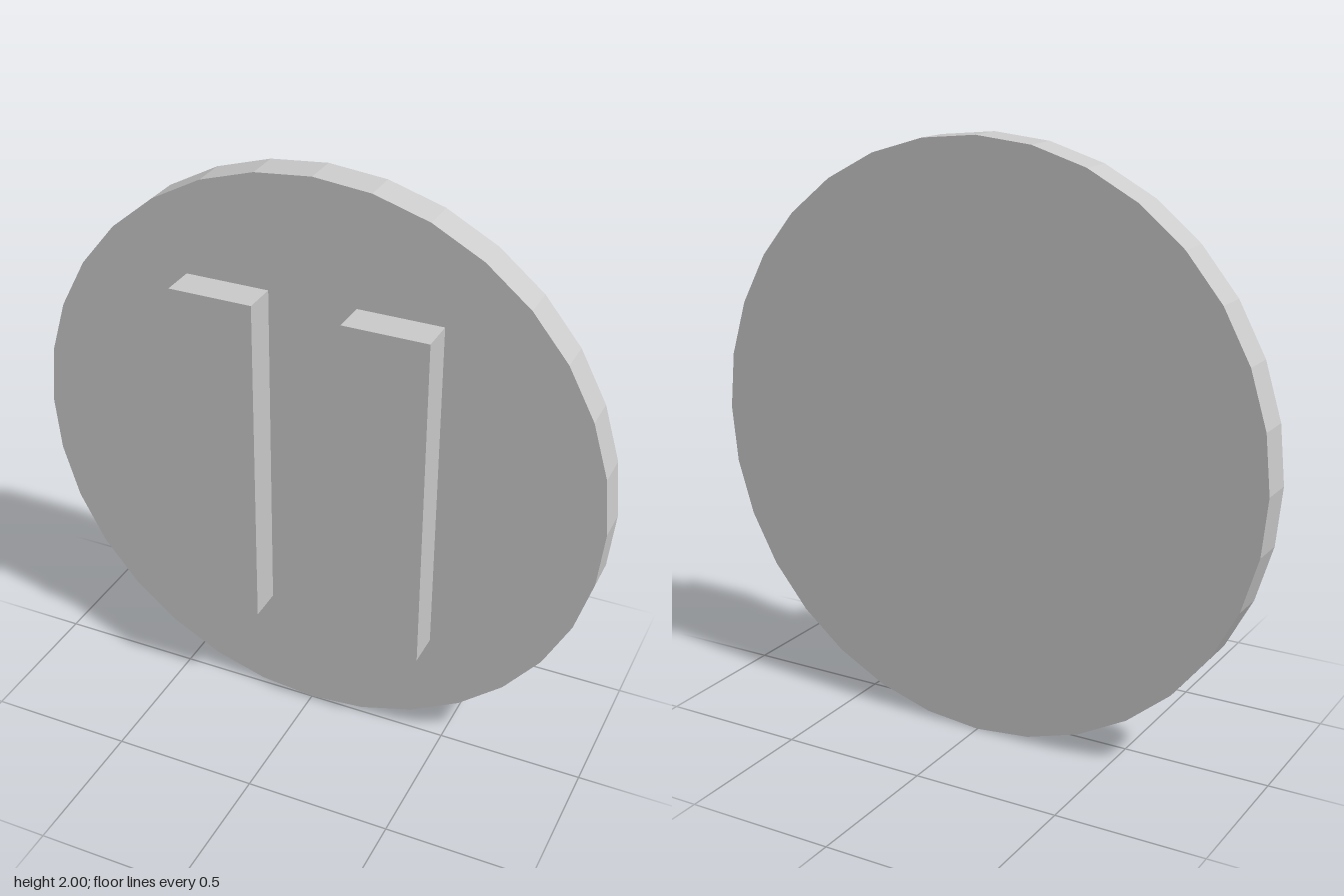
import * as THREE from 'three';

export function createModel() {
  const group = new THREE.Group();
  const material = new THREE.MeshStandardMaterial({ color: 0xcccccc, flatShading: true });
  const depth = 0.12;

  // Round backing plate, standing upright
  const disc = new THREE.Mesh(new THREE.CylinderGeometry(1, 1, depth, 32), material);
  disc.name = 'disc';
  disc.rotation.x = Math.PI / 2;
  disc.position.set(0, 1, -depth / 2);
  group.add(disc);

  // Two raised upright bars on the front face
  const barGeometry = new THREE.BoxGeometry(0.29, 1.19, depth);
  for (const side of [1, -1]) {
    const bar = new THREE.Mesh(barGeometry, material);
    bar.name = side > 0 ? 'leftBar' : 'rightBar';
    bar.position.set(side * 0.296, 1, depth / 2);
    group.add(bar);
  }
  return group;
}
